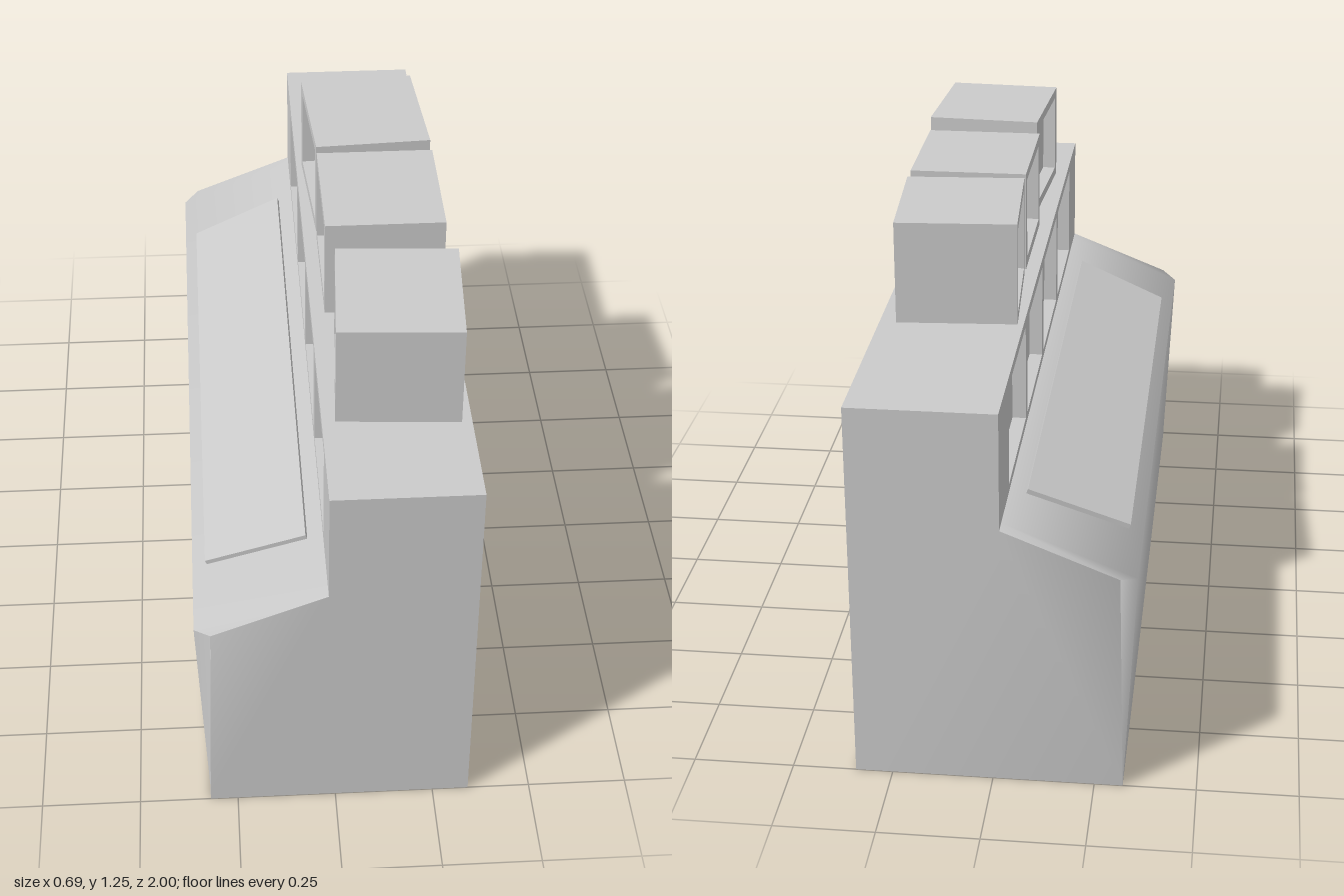
import * as THREE from 'three';
import { toCreasedNormals } from 'three/addons/utils/BufferGeometryUtils.js';

const material = new THREE.MeshStandardMaterial({ color: 0xcccccc });
const DEPTH = 0.035; // depth of every screen recess

function add(parent, geometry, name) {
  const mesh = new THREE.Mesh(geometry, material);
  mesh.name = name;
  parent.add(mesh);
  return mesh;
}

function polygon(Type, points) {
  return new Type(points.map(([x, y]) => new THREE.Vector2(x, y)));
}

function rect(Type, cx, cy, w, h) {
  const x = w / 2, y = h / 2;
  return polygon(Type, [[cx - x, cy - y], [cx + x, cy - y], [cx + x, cy + y], [cx - x, cy + y]]);
}

// Flat frame, front face towards +z, with rectangular openings
function frameGeometry(outer, openings) {
  outer.holes = openings;
  return new THREE.ExtrudeGeometry(outer, { depth: DEPTH, bevelEnabled: false });
}

// Desk body: profile sections lofted along z, with the front corners cut off towards the top
function bodyGeometry() {
  const section = (frontX, frontY, z) => [
    [-0.32, 0], [frontX, frontY], [-0.02, 0.69], [-0.02 + DEPTH, 0.69],
    [-0.02 + DEPTH, 0.99], [0.342, 0.99], [0.342, 0],
  ].map(([x, y]) => [x, y, z]);
  const sections = [
    section(-0.305, 0.576, -1), section(-0.345, 0.56, -0.96),
    section(-0.345, 0.56, 0.96), section(-0.305, 0.576, 1),
  ];
  const positions = [];
  const tri = (a, b, c) => positions.push(...a, ...b, ...c);
  for (let k = 0; k < 3; k++) {
    const s = sections[k], t = sections[k + 1];
    for (let i = 0; i < s.length; i++) {
      const j = (i + 1) % s.length;
      tri(s[i], t[i], t[j]);
      tri(s[i], t[j], s[j]);
    }
  }
  // End caps
  for (const [a, b, c] of [[0, 1, 2], [0, 2, 3], [0, 3, 6], [3, 4, 5], [3, 5, 6]]) {
    const s = sections[0], t = sections[3];
    tri(s[a], s[b], s[c]);
    tri(t[a], t[c], t[b]);
  }
  const geometry = new THREE.BufferGeometry();
  geometry.setAttribute('position', new THREE.Float32BufferAttribute(positions, 3));
  return toCreasedNormals(geometry, 1.3);
}

// Box monitor facing local +z, standing on y = 0
function createMonitor() {
  const w = 0.35, h = 0.265, d = 0.305;
  const monitor = new THREE.Group();
  const housing = add(monitor, new THREE.BoxGeometry(w, h, d - DEPTH), 'monitorHousing');
  housing.position.set(0, h / 2, -DEPTH / 2);
  const bezel = add(monitor, frameGeometry(
    rect(THREE.Shape, 0, h / 2, w, h),
    [rect(THREE.Path, 0, h / 2, w - 0.056, h - 0.05)]
  ), 'monitorBezel');
  bezel.position.z = d / 2 - DEPTH;
  return monitor;
}

export function createModel() {
  const model = new THREE.Group();
  model.name = 'controlDesk';

  add(model, bodyGeometry(), 'deskBody');

  // Upright wall with four recessed screens
  const wall = add(model, frameGeometry(
    rect(THREE.Shape, 0, 0.84, 2, 0.3),
    [-0.61, -0.2, 0.2, 0.61].map((z) => rect(THREE.Path, z, 0.838, 0.37, 0.255))
  ), 'screenWall');
  wall.rotation.y = -Math.PI / 2;
  wall.position.x = -0.02 + DEPTH;

  // Thin keyboard panel lying on the slope
  const slope = Math.atan(0.4);
  const panel = add(model, new THREE.ExtrudeGeometry(
    polygon(THREE.Shape, [[-0.742, 0], [0.742, 0], [0.773, 0.269], [-0.773, 0.269]]),
    { depth: 0.013, bevelEnabled: false }
  ), 'controlPanel');
  panel.rotation.set(slope - Math.PI / 2, -Math.PI / 2, 0, 'YXZ');
  panel.position.set(-0.308, 0.574, 0);

  // Three monitors on top, the outer two turned slightly
  [[0.158, -0.305, 0.06], [0.168, 0.085, 0], [0.175, 0.545, -0.06]].forEach(([x, z, turn], i) => {
    const monitor = createMonitor();
    monitor.name = `monitor${i + 1}`;
    monitor.position.set(x, 0.99, z);
    monitor.rotation.y = turn - Math.PI / 2;
    model.add(monitor);
  });

  return model;
}
